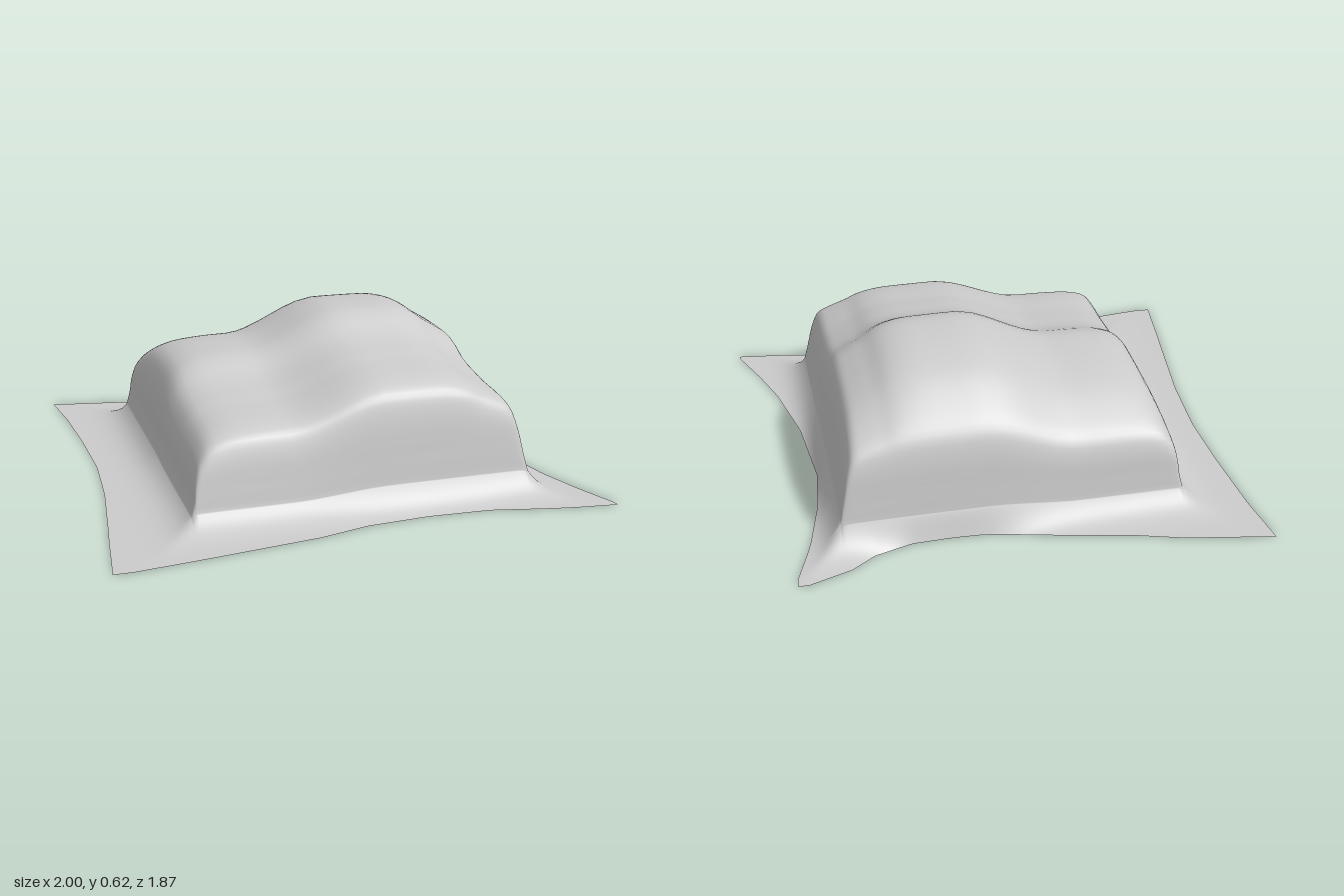
import * as THREE from 'three';

const smooth = THREE.MathUtils.smoothstep;

// Piecewise linear lookup in a list of [position, value]
function at(table, t) {
  if (t <= table[0][0]) return table[0][1];
  for (let i = 1; i < table.length; i++) {
    const [a, va] = table[i - 1], [b, vb] = table[i];
    if (t <= b) return va + (vb - va) * (t - a) / (b - a);
  }
  return table[table.length - 1][1];
}

// Draping profiles across the hidden blocks: [position, share of full height]
const profileX = [
  [-0.65, 0.17], [-0.637, 0.3], [-0.625, 0.52], [-0.6, 0.72], [-0.55, 0.89], [-0.48, 0.96], [-0.38, 0.99], [-0.2, 1],
  [0, 1], [0.25, 1], [0.38, 0.99], [0.46, 0.95], [0.53, 0.87], [0.59, 0.81], [0.64, 0.75], [0.67, 0.62], [0.7, 0.33], [0.715, 0.19],
];
const profileZ = [
  [-0.655, 0.17], [-0.645, 0.33], [-0.63, 0.55], [-0.6, 0.69], [-0.52, 0.81], [-0.4, 0.93], [-0.28, 0.98], [-0.15, 1],
  [0, 1], [0.15, 1], [0.3, 1], [0.43, 0.98], [0.54, 0.94], [0.595, 0.88], [0.625, 0.74], [0.652, 0.4], [0.665, 0.2],
];

// Hem of the cloth, one curve per side: [position along the side, distance out]
const hem = {
  left: [[-0.94, -0.945], [-0.7, -0.91], [-0.4, -0.89], [-0.1, -0.88], [0.2, -0.9], [0.5, -0.94], [0.93, -1]],
  right: [[-0.865, 0.905], [-0.6, 0.83], [-0.4, 0.785], [-0.15, 0.757], [0.2, 0.79], [0.5, 0.86], [0.7, 0.93], [0.89, 1]],
  back: [[-0.945, -0.94], [-0.6, -0.88], [-0.4, -0.82], [-0.1, -0.755], [0.15, -0.695], [0.3, -0.69], [0.45, -0.695],
    [0.6, -0.74], [0.7, -0.81], [0.905, -0.865]],
  front: [[-1, 0.93], [-0.9, 0.935], [-0.7, 0.91], [-0.2, 0.845], [0, 0.795], [0.25, 0.778], [0.5, 0.79], [0.65, 0.825],
    [0.8, 0.86], [1, 0.89]],
};

// Height of the four blocks under the cloth, blended where they meet
const backShare = [[-0.04, 1], [0.02, 0.9], [0.07, 0.66], [0.12, 0.4], [0.2, 0.2], [0.35, 0]];
function blockHeight(x, z) {
  const back = at(backShare, z);
  const rightBlocks = THREE.MathUtils.lerp(0.505, 0.615, back);
  const leftBlocks = THREE.MathUtils.lerp(0.385, 0.475, back);
  return THREE.MathUtils.lerp(leftBlocks, rightBlocks, smooth(x, -0.25, 0.14));
}

// Grid lines of one axis: skirt, draped middle, skirt
function stations(profile, corner) {
  const curve = new THREE.CatmullRomCurve3(profile.map(([p, w]) => new THREE.Vector3(p, w, 0)), false, 'centripetal');
  const middle = curve.getPoints((profile.length - 1) * 4).map(p => ({ foot: p.x, pos: p.x, w: p.y, f: 0, side: 0 }));
  const skirt = side => {
    const [foot, w] = profile[side < 0 ? 0 : profile.length - 1];
    return Array.from({ length: 14 }, (_, i) => {
      const f = ((i + 1) / 14) ** 1.6;
      return { foot, pos: foot + side * f * (corner - Math.abs(foot)), w, f, side };
    });
  };
  return [...skirt(-1).reverse(), ...middle, ...skirt(1)];
}

// Moves a skirt line out to the hem and lets its height run out
function settle(s, along, low, high) {
  if (!s.side) return [s.pos, s.w];
  const edge = at(s.side < 0 ? low : high, along);
  const pos = s.foot + s.f * (edge - s.foot);
  return [pos, s.w * Math.exp(-Math.abs(pos - s.foot) / 0.055) * (1 - s.f ** 2)];
}

function clothGeometry() {
  const cols = stations(profileX, 0.96), rows = stations(profileZ, 0.91);
  const positions = [], index = [];
  rows.forEach((r, j) => cols.forEach((c, i) => {
    const [x, wx] = settle(c, r.pos, hem.left, hem.right);
    const [z, wz] = settle(r, c.pos, hem.back, hem.front);
    // Soft minimum keeps the corners of the drape upright
    const w = Math.min(wx, wz) < 1e-4 ? 0 : (wx ** -3 + wz ** -3 - 1) ** (-1 / 3);
    positions.push(x, blockHeight(x, z) * w, z);
    if (i && j) {
      const d = j * cols.length + i, b = d - cols.length;
      index.push(b - 1, d - 1, b, b, d - 1, d);
    }
  }));
  const geometry = new THREE.BufferGeometry();
  geometry.setAttribute('position', new THREE.Float32BufferAttribute(positions, 3));
  geometry.setIndex(index);
  geometry.computeVertexNormals();
  return geometry;
}

export function createModel() {
  const group = new THREE.Group();
  group.name = 'drapedCloth';
  const fabric = new THREE.MeshStandardMaterial({ color: 0xcccccc, side: THREE.DoubleSide });
  fabric.name = 'greyFabric';
  const cloth = new THREE.Mesh(clothGeometry(), fabric);
  cloth.name = 'cloth';
  group.add(cloth);
  return group;
}
